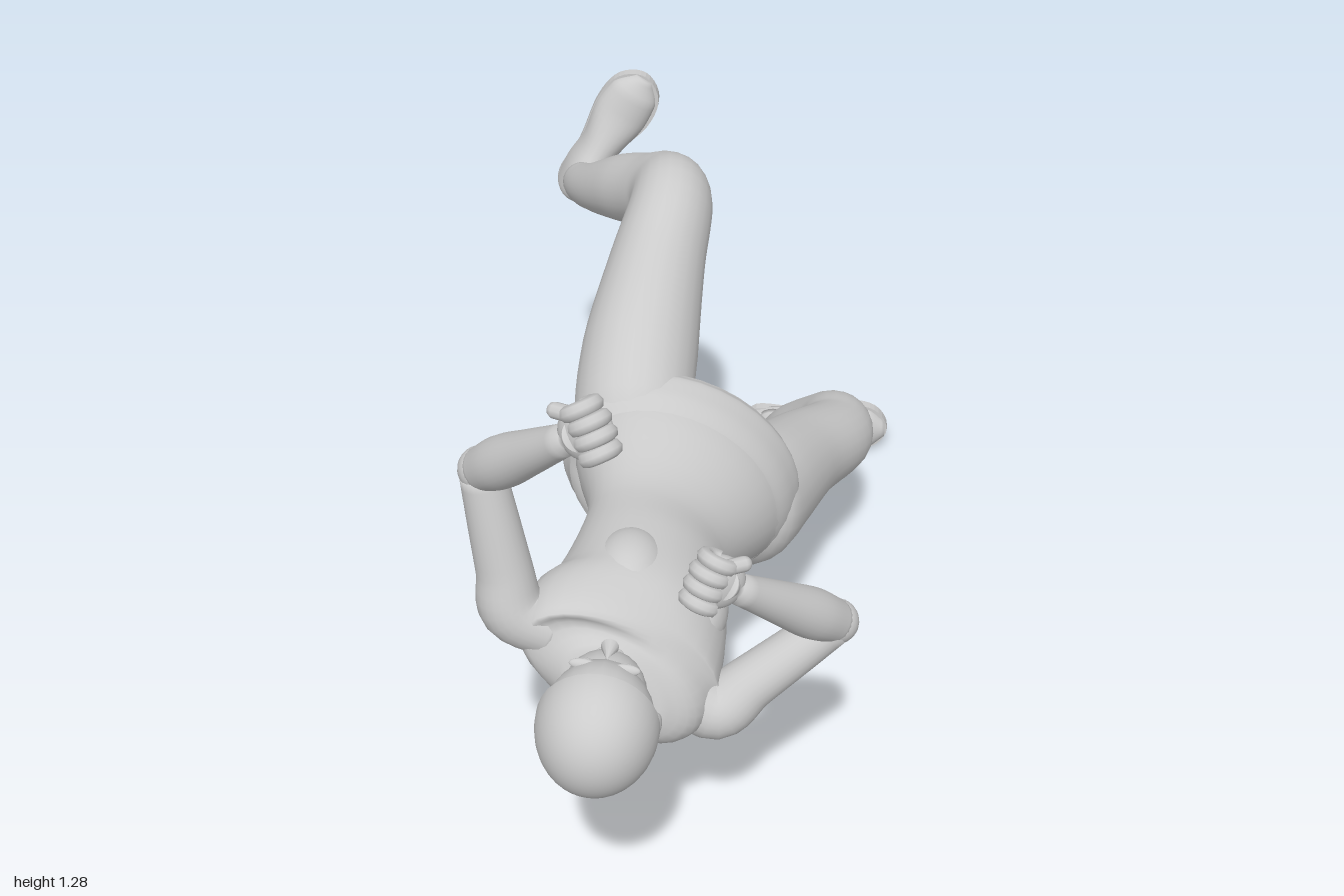
import * as THREE from 'three';

const V = (x, y, z) => new THREE.Vector3(x, y, z);
const mat = new THREE.MeshStandardMaterial({ color: 0xcccccc });
const matTwoSided = new THREE.MeshStandardMaterial({ color: 0xcccccc, side: THREE.DoubleSide });

function part(name, geometry, material = mat) {
  const m = new THREE.Mesh(geometry, material);
  m.name = name;
  return m;
}

// Smooth skin over sections [x, y, z, radiusAlongRef, radiusAcross]
function loft(sections, ref, { sides = 24, steps = 5, caps = true } = {}) {
  const centres = new THREE.CatmullRomCurve3(sections.map(s => V(s[0], s[1], s[2])));
  const radii = new THREE.CatmullRomCurve3(sections.map(s => V(s[3], s[4] ?? s[3], 0)));
  const n = (sections.length - 1) * steps;
  const pos = [], index = [];
  for (let i = 0; i <= n; i++) {
    const c = centres.getPoint(i / n), r = radii.getPoint(i / n);
    const T = centres.getPoint(Math.min(1, (i + 1) / n)).sub(centres.getPoint(Math.max(0, (i - 1) / n))).normalize();
    const S = ref.clone().addScaledVector(T, -ref.dot(T)).normalize();
    const U = T.clone().cross(S);
    for (let j = 0; j < sides; j++) {
      const a = (j / sides) * Math.PI * 2;
      const p = c.clone().addScaledVector(S, r.x * Math.cos(a)).addScaledVector(U, r.y * Math.sin(a));
      pos.push(p.x, p.y, p.z);
      if (i < n) {
        const k = (j + 1) % sides, b = i * sides, d = b + sides;
        index.push(b + j, b + k, d + k, b + j, d + k, d + j);
      }
    }
  }
  if (caps) {
    const first = centres.getPoint(0), last = centres.getPoint(1), q = pos.length / 3;
    pos.push(first.x, first.y, first.z, last.x, last.y, last.z);
    for (let j = 0; j < sides; j++) {
      const k = (j + 1) % sides;
      index.push(q, k, j, q + 1, n * sides + j, n * sides + k);
    }
  }
  const g = new THREE.BufferGeometry();
  g.setAttribute('position', new THREE.Float32BufferAttribute(pos, 3));
  g.setIndex(index);
  g.computeVertexNormals();
  return g;
}

function ellipsoid(name, p, r) {
  const m = part(name, new THREE.SphereGeometry(1, 24, 16));
  m.position.set(...p);
  m.scale.set(...r);
  return m;
}

// Group whose local axes are x (made square to y) and y
function oriented(name, origin, xAxis, yAxis) {
  const g = new THREE.Group();
  g.name = name;
  const y = yAxis.clone().normalize();
  const x = xAxis.clone().addScaledVector(y, -xAxis.dot(y)).normalize();
  g.quaternion.setFromRotationMatrix(new THREE.Matrix4().makeBasis(x, y, x.clone().cross(y)));
  g.position.copy(origin);
  return g;
}

// Closed fist: y along the hand, fingers curl toward +z, thumb on the given x side
function makeFist(wrist, dir, across, thumbSide) {
  const g = oriented('fist', wrist, across, dir);
  g.add(ellipsoid('palm', [0, 0.035, -0.004], [0.05, 0.056, 0.028]));
  for (let i = 0; i < 4; i++) {
    const f = part('finger', new THREE.TorusGeometry(0.025, 0.0142, 8, 14, Math.PI * 1.35));
    f.rotation.set(0, -Math.PI / 2, -0.5);
    f.position.set(thumbSide * (0.04 - i * 0.026), 0.068 - Math.abs(i - 1.3) * 0.004, 0.014);
    g.add(f);
  }
  const thumb = part('thumb', new THREE.CapsuleGeometry(0.014, 0.045, 4, 10));
  thumb.position.set(thumbSide * 0.042, 0.042, 0.028);
  thumb.rotation.z = thumbSide * 0.5;
  g.add(thumb);
  return g;
}

// Shoe: x toward the toe, z away from the sole, which rests on z = 0
function makeShoe(name, centre, toeDir, mirror) {
  const g = oriented(name, centre, toeDir, V(-toeDir.y, toeDir.x, 0));
  const outline = [[-0.175, 0], [-0.15, 0.043], [-0.05, 0.045], [0.07, 0.065], [0.145, 0.052],
    [0.178, 0], [0.145, -0.055], [0.07, -0.068], [-0.04, -0.042], [-0.15, -0.045]];
  const shape = new THREE.Shape(new THREE.SplineCurve([...outline, outline[0]]
    .map(([x, y]) => new THREE.Vector2(x, y * mirror))).getPoints(50).slice(0, -1));
  g.add(part('sole', new THREE.ExtrudeGeometry(shape, { depth: 0.024, bevelEnabled: false })));
  const upper = loft([[-0.172, 0, 0.02, 0.02, 0.03], [-0.15, 0, 0.02, 0.042, 0.085], [-0.09, 0, 0.02, 0.05, 0.11],
    [-0.02, 0, 0.02, 0.048, 0.078], [0.07, 0, 0.02, 0.063, 0.046], [0.13, 0, 0.02, 0.056, 0.036],
    [0.172, 0, 0.02, 0.02, 0.017]], V(0, 1, 0));
  // flatten the underside onto the sole
  const p = upper.attributes.position;
  for (let i = 0; i < p.count; i++) p.setZ(i, Math.max(p.getZ(i), 0.012));
  upper.computeVertexNormals();
  g.add(part('shoeUpper', upper));
  return g;
}

export function createModel() {
  const model = new THREE.Group();
  model.name = 'recliningFigure';
  const side = V(0.8, -0.6, 0), front = V(0.6, 0.8, 0), X = V(1, 0, 0);

  // Torso from the crotch to the base of the neck
  model.add(part('torso', loft([
    [-0.02, 0.61, -0.12, 0.05, 0.04], [-0.025, 0.61, -0.075, 0.16, 0.12], [-0.035, 0.615, 0, 0.24, 0.172],
    [-0.045, 0.625, 0.09, 0.215, 0.16], [-0.06, 0.638, 0.27, 0.148, 0.11], [-0.068, 0.635, 0.38, 0.155, 0.13],
    [-0.08, 0.62, 0.5, 0.18, 0.148], [-0.1, 0.612, 0.59, 0.205, 0.132], [-0.1, 0.605, 0.65, 0.18, 0.1],
    [-0.1, 0.615, 0.695, 0.09, 0.065]], side, { sides: 32 })));
  for (const s of [-1, 1]) {
    const c = V(-0.08, 0.62, 0.48).addScaledVector(side, s * 0.07).addScaledVector(front, 0.073);
    model.add(ellipsoid('chest', c.toArray(), [0.07, 0.07, 0.1]));
  }

  // Waistband, slanting round the hips, its lower rim drawn in over the thighs
  const bandRings = [[-0.043, 0.622, 0.095, 0.226, 0.168], [-0.038, 0.62, 0.05, 0.25, 0.184],
    [-0.035, 0.618, 0, 0.262, 0.192], [-0.033, 0.618, -0.03, 0.252, 0.183]];
  const band = loft(bandRings, side, { sides: 36, caps: false });
  const bp = band.attributes.position;
  for (let i = 0; i < bp.count; i++) bp.setZ(i, bp.getZ(i) - 0.17 * (bp.getX(i) + 0.04));
  band.computeVertexNormals();
  model.add(part('waistband', band, matTwoSided));

  // Legs, each one skin from hip to ankle
  model.add(part('raisedLeg', loft([
    [-0.12, 0.66, 0.06, 0.075, 0.08], [-0.133, 0.735, -0.03, 0.12, 0.132], [-0.13, 0.8, -0.14, 0.118, 0.133],
    [-0.11, 0.9, -0.33, 0.099, 0.115], [-0.092, 0.967, -0.46, 0.087, 0.1], [-0.108, 0.958, -0.53, 0.083, 0.088],
    [-0.145, 0.93, -0.59, 0.08, 0.08], [-0.205, 0.89, -0.67, 0.076], [-0.295, 0.825, -0.79, 0.054],
    [-0.335, 0.785, -0.89, 0.045], [-0.34, 0.775, -0.96, 0.045]], X)));
  model.add(part('loweredLeg', loft([
    [0.06, 0.55, 0.06, 0.075, 0.08], [0.095, 0.515, -0.02, 0.116, 0.124], [0.13, 0.49, -0.13, 0.113, 0.12],
    [0.19, 0.445, -0.3, 0.101, 0.1], [0.265, 0.395, -0.46, 0.09, 0.084], [0.268, 0.376, -0.53, 0.083, 0.08],
    [0.235, 0.33, -0.59, 0.077, 0.077], [0.18, 0.255, -0.67, 0.073], [0.13, 0.155, -0.79, 0.052],
    [0.115, 0.09, -0.89, 0.045], [0.115, 0.08, -0.96, 0.045]], X)));

  model.add(makeShoe('raisedShoe', V(-0.288, 0.86, -1), V(0.53, 0.85, 0), 1));
  model.add(makeShoe('loweredShoe', V(0.222, 0.07, -1), V(1, 0, 0), -1));

  // Arms: shoulder, elbow and wrist, then hand direction and knuckle line
  const arms = [
    { name: 'raisedArm', s: V(-0.288, 0.715, 0.6), e: V(-0.335, 1.0, 0.57), w: V(-0.155, 1.19, 0.74),
      dir: V(0.65, 0.5, 0.3), across: V(0.25, -0.8, 0.3), thumbSide: -1 },
    { name: 'loweredArm', s: V(0.07, 0.5, 0.595), e: V(0.288, 0.655, 0.515), w: V(0.11, 0.86, 0.69),
      dir: V(-0.65, 0.45, 0.3), across: V(0.25, 0.8, -0.3), thumbSide: 1 }];
  const inner = V(-0.1, 0.61, 0.59);
  for (const { name, s, e, w, dir, across, thumbSide } of arms) {
    const arm = new THREE.Group();
    arm.name = name;
    const at = (a, b, t, r) => [...a.clone().lerp(b, t).toArray(), r];
    arm.add(part('upperArm', loft([at(inner, s, 0.6, 0.055), at(s, e, 0.02, 0.06), at(s, e, 0.3, 0.051),
      at(s, e, 0.65, 0.046), at(s, e, 0.97, 0.041)], V(0, 0, 1))));
    arm.add(ellipsoid('elbow', e.toArray(), [0.042, 0.042, 0.042]));
    arm.add(part('forearm', loft([at(e, w, 0, 0.04), at(e, w, 0.25, 0.047), at(e, w, 0.6, 0.038),
      at(e, w, 0.95, 0.028), at(e, w, 1.08, 0.028)], V(0, 0, 1))));
    arm.add(makeFist(w, dir, across, thumbSide));
    model.add(arm);
  }

  // Neck
  model.add(part('neck', loft([[-0.1, 0.605, 0.62, 0.085, 0.07], [-0.1, 0.62, 0.69, 0.06],
    [-0.103, 0.65, 0.75, 0.054], [-0.105, 0.68, 0.83, 0.055]], X)));

  // Head: local y toward the crown, z toward the face
  const head = oriented('head', V(-0.106, 0.705, 0.872), V(-1, 0.1, 0), V(0, 0.38, 0.92));
  head.add(ellipsoid('skull', [0, 0.01, -0.005], [0.098, 0.116, 0.112]));
  head.add(ellipsoid('face', [0, -0.055, 0.035], [0.072, 0.085, 0.07]));
  head.add(ellipsoid('chin', [0, -0.115, 0.06], [0.03, 0.024, 0.03]));
  head.add(ellipsoid('lips', [0, -0.088, 0.092], [0.024, 0.01, 0.012]));
  const nose = part('nose', new THREE.ConeGeometry(0.016, 0.045, 10));
  nose.position.set(0, -0.045, 0.105);
  nose.rotation.x = -0.25;
  head.add(nose);
  for (const s of [-1, 1]) {
    head.add(ellipsoid('eye', [s * 0.035, -0.022, 0.09], [0.016, 0.01, 0.01]));
    head.add(ellipsoid('eyebrow', [s * 0.037, 0.002, 0.096], [0.024, 0.007, 0.01]));
    head.add(ellipsoid('ear', [s * 0.095, -0.03, -0.005], [0.011, 0.032, 0.02]));
  }
  // Close-fitting hair cap
  const hair = part('hair', new THREE.SphereGeometry(1, 32, 16, 0, Math.PI * 2, 0, Math.PI * 0.52), matTwoSided);
  hair.scale.set(0.106, 0.123, 0.119);
  hair.position.set(0, 0.01, -0.006);
  hair.rotation.x = -0.5;
  head.add(hair);
  model.add(head);

  return model;
}
